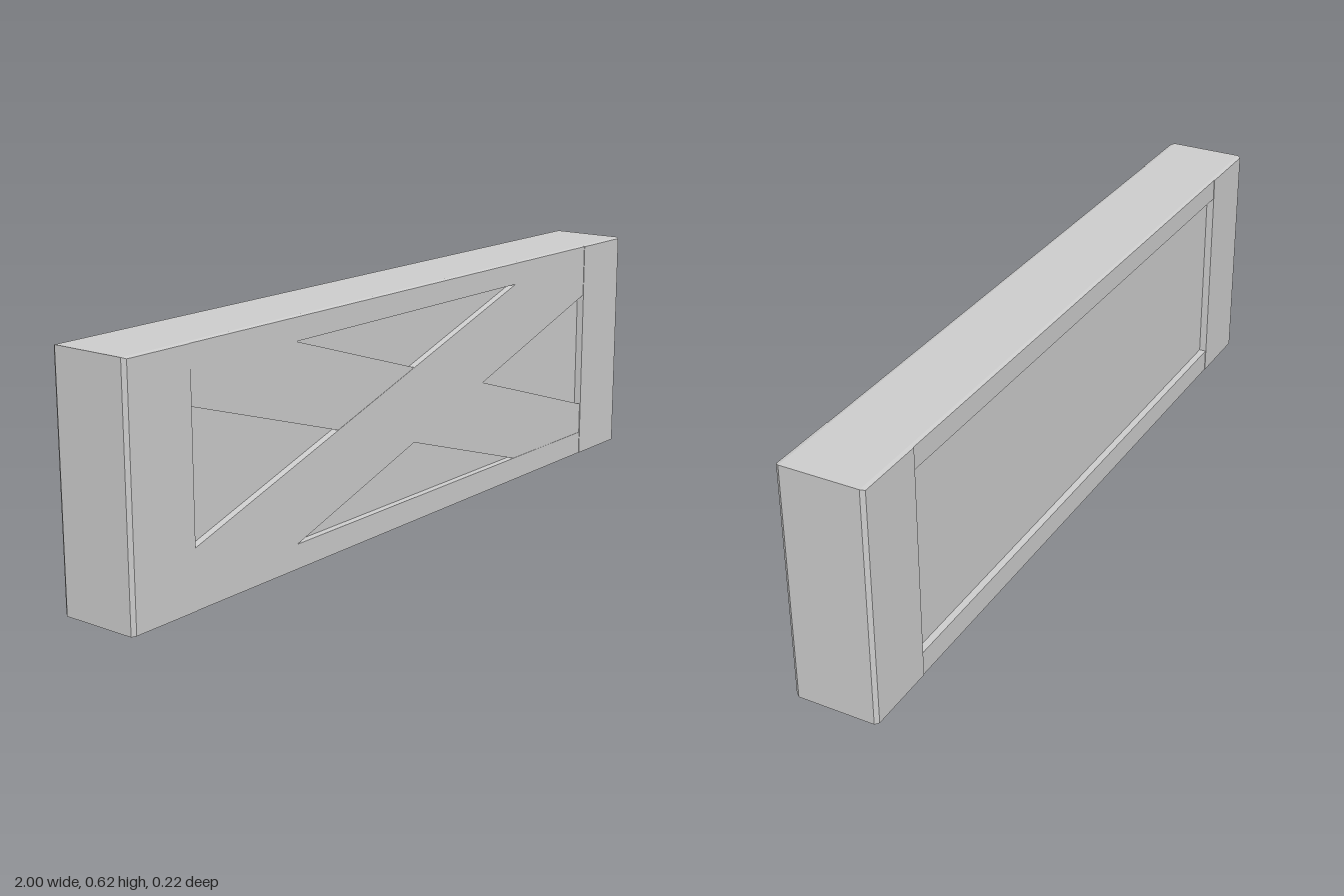
import * as THREE from 'three';

const material = new THREE.MeshStandardMaterial({ color: 0xcccccc, flatShading: true });
const H = 0.615, INNER_X = 0.806, RAIL_BOTTOM = 0.065, RAIL_TOP = 0.555;

function add(group, name, geometry) {
  const mesh = new THREE.Mesh(geometry, material);
  mesh.name = name;
  group.add(mesh);
}

// Box whose front and back faces are drawn in along the outer borders of the frame.
function chamferedBox(x0, x1, y0, y1, halfDepth) {
  const g = new THREE.BoxGeometry(x1 - x0, y1 - y0, 2, 1, 1, 3);
  g.translate((x0 + x1) / 2, (y0 + y1) / 2, 0);
  const p = g.attributes.position;
  for (let i = 0; i < p.count; i++) {
    const x = p.getX(i), y = p.getY(i), z = p.getZ(i);
    const face = Math.abs(z) > 0.9;
    p.setZ(i, Math.sign(z) * (face ? halfDepth : 0.1));
    if (!face) continue;
    if (Math.abs(x) > 0.99) p.setX(i, x - Math.sign(x) * 0.007);
    if (y < 0.001) p.setY(i, 0.003);
    if (y > H - 0.001) p.setY(i, H - 0.003);
  }
  const flat = g.toNonIndexed();
  flat.computeVertexNormals();
  return flat;
}

// Diagonal board trimmed to the opening; side = -1 mirrors it.
function braceGeometry(side, frontZ) {
  const corners = [
    [-INNER_X, RAIL_BOTTOM], [-0.46, RAIL_BOTTOM], [INNER_X, 0.472],
    [INNER_X, RAIL_TOP], [0.455, RAIL_TOP], [-INNER_X, 0.15],
  ].map(([x, y]) => new THREE.Vector2(x * side, y));
  const g = new THREE.ExtrudeGeometry(new THREE.Shape(corners), { depth: frontZ - 0.08, bevelEnabled: false });
  return g.translate(0, 0, 0.08);
}

export function createModel() {
  const group = new THREE.Group();
  group.name = 'bracedPanel';

  // Upright end boards, slightly proud of the rails
  add(group, 'leftStile', chamferedBox(INNER_X, 1, 0, H, 0.11));
  add(group, 'rightStile', chamferedBox(-1, -INNER_X, 0, H, 0.11));

  // Long horizontal boards
  add(group, 'bottomRail', chamferedBox(-INNER_X, INNER_X, 0, RAIL_BOTTOM, 0.1085));
  add(group, 'topRail', chamferedBox(-INNER_X, INNER_X, RAIL_TOP, H, 0.1085));

  // Recessed infill
  const panel = new THREE.BoxGeometry(2 * INNER_X, RAIL_TOP - RAIL_BOTTOM, 0.18);
  add(group, 'recessedPanel', panel.translate(0, (RAIL_TOP + RAIL_BOTTOM) / 2, 0));

  // Crossed boards on the front
  add(group, 'risingBrace', braceGeometry(1, 0.1085));
  add(group, 'fallingBrace', braceGeometry(-1, 0.1075));

  return group;
}
